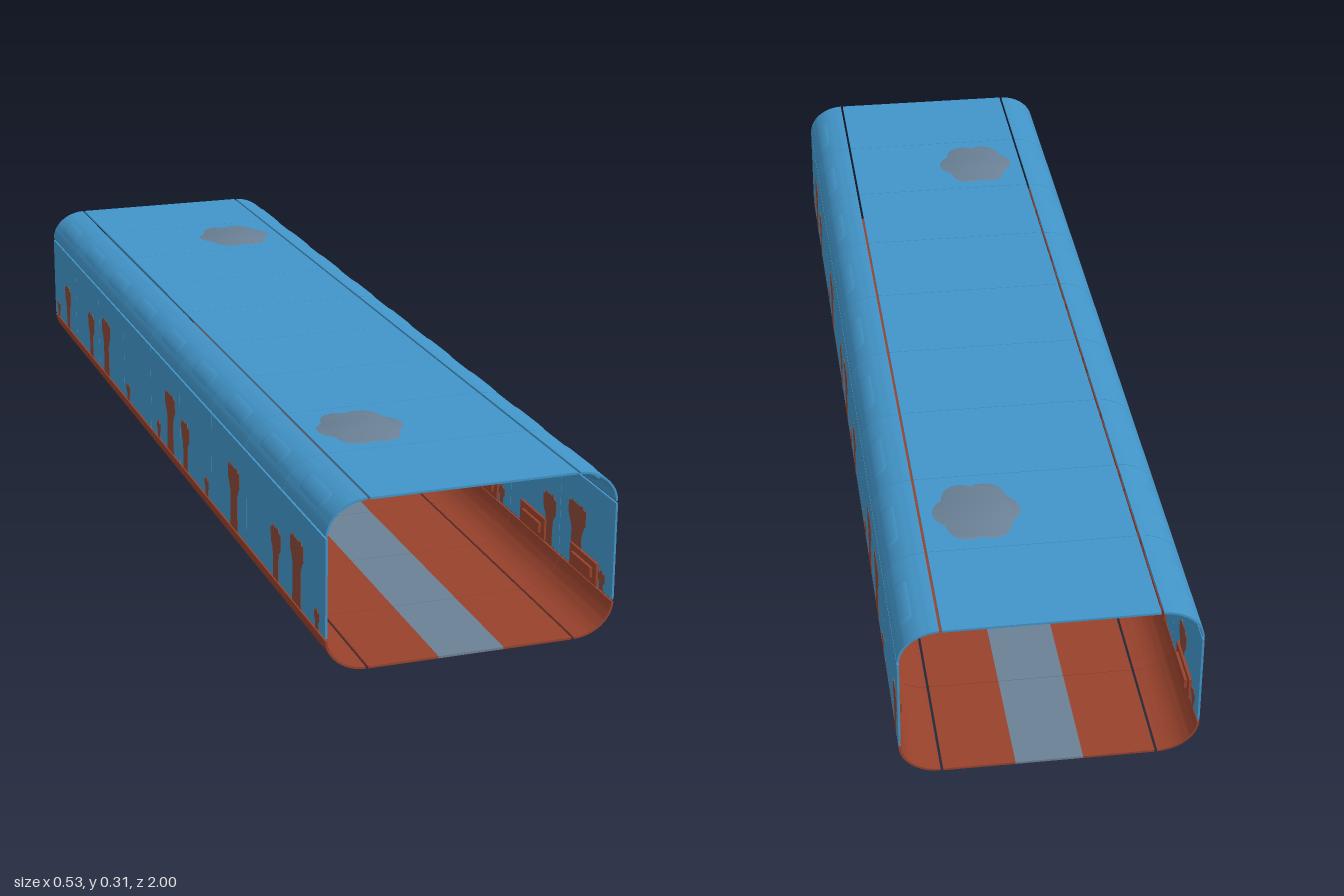
import * as THREE from 'three';
import { mergeGeometries, toCreasedNormals } from 'three/addons/utils/BufferGeometryUtils.js';

const mat = (name, color) => {
  const m = new THREE.MeshStandardMaterial({ color });
  m.name = name;
  return m;
};

const SEGMENTS = 9, STEP = 2 / SEGMENTS;   // repeated tunnel sections along z
const W = 0.265, H = 0.31, T = 0.004;      // half width, height, shell thickness
const RX = 0.075, RY = 0.063;              // corner size
const GAP = 0.0025;
const segmentZ = i => 1 - STEP * (i + 0.5);

export function createModel() {
  const root = new THREE.Group();
  root.name = 'tunnel';
  const blue = mat('sky blue', 0x4295c9);
  const rust = mat('rust red', 0x98422c);
  const rock = mat('rock brown', 0x8a4837);
  const grey = mat('slate grey', 0x6a8095);

  const add = (name, geometry, material, parent = root) => {
    const m = new THREE.Mesh(geometry, material);
    m.name = name;
    parent.add(m);
    return m;
  };

  // Box given by its limits
  const box = (x0, x1, y0, y1, z0, z1) =>
    new THREE.BoxGeometry(Math.abs(x1 - x0), y1 - y0, z1 - z0)
      .translate((x0 + x1) / 2, (y0 + y1) / 2, (z0 + z1) / 2);

  // Quarter-round corner panel, sx and sy choose the corner
  const cornerPanel = (sx, sy, length) => {
    const cx = W - RX, cy = H / 2 - RY, pts = [], n = 12, margin = 0.03;
    const at = (k, inset) => {
      const a = margin + (Math.PI / 2 - 2 * margin) * k / n;
      return new THREE.Vector2(sx * (cx + (RX - inset) * Math.cos(a)),
        H / 2 + sy * (cy + (RY - inset) * Math.sin(a)));
    };
    for (let k = 0; k <= n; k++) pts.push(at(k, 0));
    for (let k = n; k >= 0; k--) pts.push(at(k, T));
    const g = new THREE.ExtrudeGeometry(new THREE.Shape(pts), { depth: length, bevelEnabled: false });
    return toCreasedNormals(g.translate(0, 0, -length / 2), 0.6);
  };

  // Shell panels, section by section
  const len = STEP - 0.0012, h = len / 2, stripe = 0.06, flat = W - RX - GAP;
  const corners = {};
  for (const sx of [-1, 1]) for (const sy of [-1, 1]) corners[sx + ',' + sy] = cornerPanel(sx, sy, len);
  for (let i = 0; i < SEGMENTS; i++) {
    const section = new THREE.Group();
    section.name = 'section' + (i + 1);
    section.position.z = segmentZ(i);
    root.add(section);
    add('ceilingPanel', box(-flat, flat, H - T, H, -h, h), blue, section);
    add('walkway', box(-stripe, stripe, 0, T, -h, h), grey, section);
    for (const s of [-1, 1]) {
      add('floorPanel', box(s * stripe, s * flat, 0, T, -h, h), rust, section);
      add('wallPanel', box(s * W, s * (W - T), RY + GAP, H - RY - GAP, -h, h), blue, section);
      add('upperCorner', corners[s + ',1'], blue, section);
      add('lowerCorner', corners[s + ',-1'], rust, section);

      // Long lens-shaped lamp in the upper corner
      const lamp = add('cornerLamp', new THREE.CapsuleGeometry(0.022, 0.09, 6, 14).rotateX(Math.PI / 2)
        .scale(1, 0.42, 1), blue, section);
      lamp.position.set(s * 0.241, 0.283, 0);
      lamp.rotation.z = -s * Math.PI / 4;

      // Low wall box with a raised middle
      const x = s * (W - T);
      add('wallBox', mergeGeometries([
        box(x, s * 0.256, 0.068, 0.11, -0.055, 0.055),
        box(s * 0.256, s * 0.251, 0.079, 0.098, -0.04, 0.04),
      ]), rust, section);
    }
  }

  // Painted rock silhouettes: half outlines as [half width, height]
  const outlines = {
    large: [[0.024, 0.066], [0.021, 0.1], [0.021, 0.135], [0.028, 0.15], [0.036, 0.16],
      [0.036, 0.185], [0.026, 0.185], [0.024, 0.191], [0.012, 0.188]],
    medium: [[0.014, 0.066], [0.014, 0.1], [0.017, 0.12], [0.027, 0.132], [0.028, 0.158],
      [0.018, 0.16], [0.015, 0.168], [0.007, 0.164]],
    small: [[0.007, 0.066], [0.008, 0.08], [0.014, 0.086], [0.014, 0.099], [0.006, 0.097], [0.004, 0.103]],
  };
  const rocks = {};
  for (const key in outlines) {
    const half = outlines[key];
    const pts = [...half, ...half.slice().reverse().map(([w, y]) => [-w, y])]
      .map(([w, y]) => new THREE.Vector2(w, y));
    rocks[key] = new THREE.ExtrudeGeometry(new THREE.Shape(pts), { depth: 0.006, bevelEnabled: false })
      .translate(0, 0, -0.003).rotateY(Math.PI / 2);
  }
  const layout = {
    '1': { large: [0.85, 0.406, 0.037, -0.487, -0.626], medium: [0.733, 0.16, -0.155, -0.957],
      small: [0.957, 0.513, -0.07, -0.385, -0.738] },
    '-1': { large: [0.85, 0.48, 0.04, -0.49], medium: [0.733, 0.15, -0.63, -0.86],
      small: [0.957, 0.3, -0.05, -0.3, -0.96] },
  };
  for (const side in layout) for (const key in layout[side]) for (const z of layout[side][key]) {
    add(key + 'Rock', rocks[key], rock).position.set(Number(side) * (W - T / 2), 0, z);
  }

  // Four-pane wall boards on the inner walls
  for (const [s, z] of [[1, 0], [1, -0.87], [-1, -0.22], [-1, 0.67]]) {
    const panes = [];
    for (const [y0, y1] of [[0.133, 0.178], [0.183, 0.225]])
      for (const dz of [-0.034, 0.034])
        panes.push(box(s * (W - T), s * 0.257, y0, y1, z + dz - 0.031, z + dz + 0.031));
    add('wallBoard', mergeGeometries(panes), rust);
  }

  // Cloud-shaped ceiling lamps with a tapered lower edge
  for (const s of [1, -1]) {
    const pts = [];
    for (let k = 0; k < 64; k++) {
      const a = k / 64 * Math.PI * 2, r = 0.85 + 0.15 * Math.abs(Math.cos(3 * a));
      pts.push(new THREE.Vector2(0.079 * r * Math.cos(a), 0.09 * r * Math.sin(a)));
    }
    const g = new THREE.ExtrudeGeometry(new THREE.Shape(pts),
      { depth: 0.009, bevelThickness: 0.007, bevelSize: 0.006, bevelSegments: 2 });
    const cloud = add('cloudLamp', toCreasedNormals(g.rotateX(Math.PI / 2), 0.6), grey);
    cloud.position.set(s * 0.086, H - T - 0.0065 + 0.004, -s * 0.667);
  }
  return root;
}
